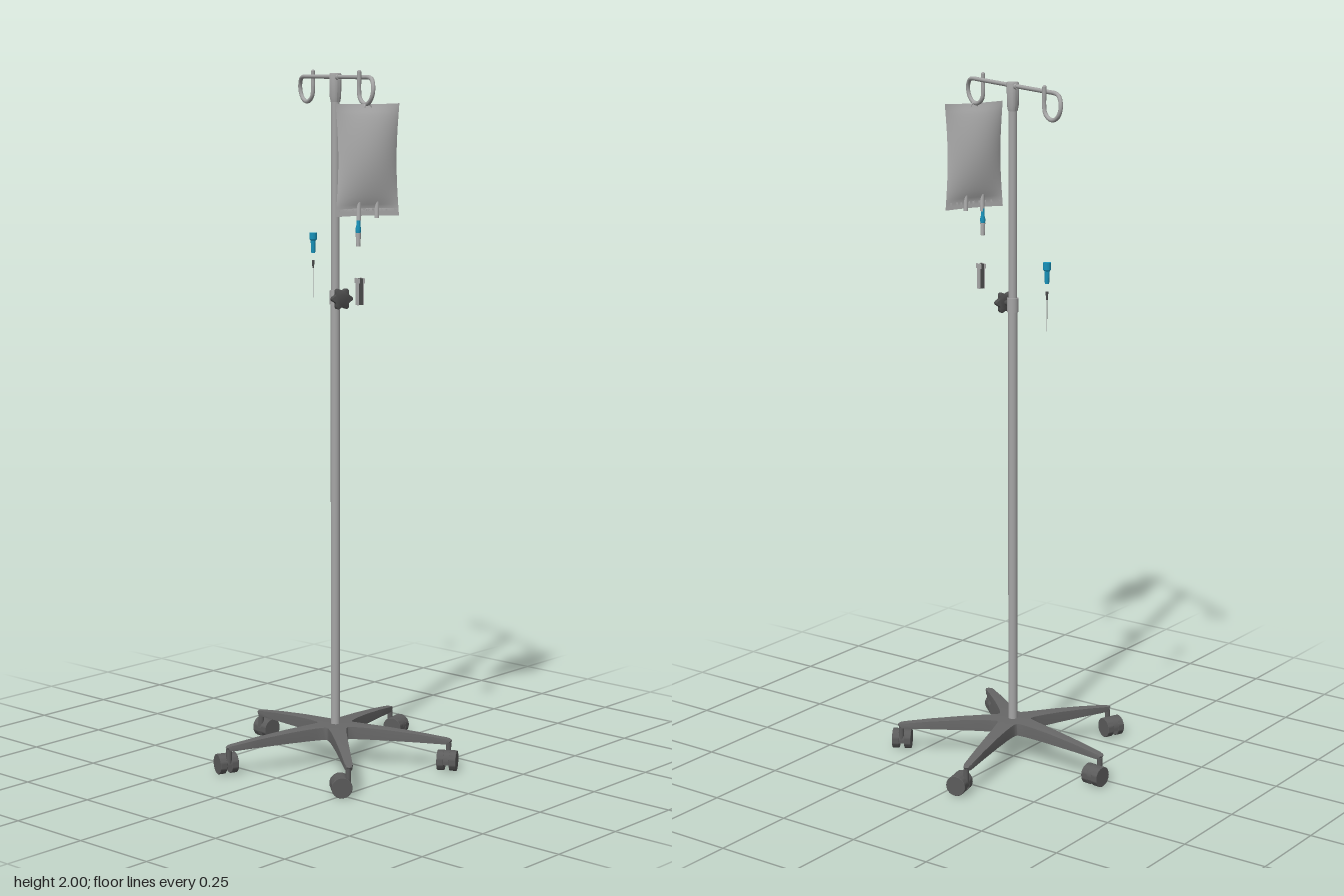
import * as THREE from 'three';
import { toCreasedNormals } from 'three/addons/utils/BufferGeometryUtils.js';

const paint = (name, color, side = THREE.FrontSide) => {
  const m = new THREE.MeshStandardMaterial({ color, side });
  m.name = name;
  return m;
};

export function createModel() {
  const steel = paint('steel', 0xa6a6a6);
  const basePlastic = paint('base grey', 0x686868);
  const rubber = paint('caster grey', 0x5c5c5c);
  const dark = paint('dark plastic', 0x4e4e4e);
  const bagFilm = paint('bag film', 0xb0b0b0, THREE.DoubleSide);
  const blue = paint('blue plastic', 0x1893bb);
  const clear = paint('clear plastic', 0xb0b0b0);

  const root = new THREE.Group();
  root.name = 'infusionStand';

  const add = (parent, name, geo, mat, x = 0, y = 0, z = 0) => {
    const mesh = new THREE.Mesh(geo, mat);
    mesh.name = name;
    mesh.position.set(x, y, z);
    parent.add(mesh);
    return mesh;
  };
  // Upright cylinder given by its lower and upper heights
  const rod = (parent, name, mat, x, z, y0, y1, r0, r1 = r0, n = 20) =>
    add(parent, name, new THREE.CylinderGeometry(r1, r0, y1 - y0, n), mat, x, (y0 + y1) / 2, z);
  // Turned part from [radius, height] pairs
  const turned = (parent, name, mat, x, z, pts, n = 18) =>
    add(parent, name, toCreasedNormals(new THREE.LatheGeometry(pts.map(p => new THREE.Vector2(...p)), n), 0.6), mat, x, 0, z);

  const stand = new THREE.Group();
  stand.name = 'stand';
  stand.position.set(0.012, 0, 0.013);
  root.add(stand);

  // Five-legged base: rings scaled from a star outline, height ruled by radius
  const LEG0 = 41.5 * Math.PI / 180, STEP = Math.PI * 2 / 5;
  const half = [[0.0437, 0.0317], [0.047, 0.0292], [0.054, 0.027], [0.07, 0.0245], [0.1, 0.0215],
    [0.16, 0.018], [0.25, 0.014], [0.33, 0.011], [0.34, 0.008], [0.345, 0.0]];
  const outline = [];
  for (let k = 0; k < 5; k++) {
    const c = Math.cos(LEG0 + k * STEP), s = Math.sin(LEG0 + k * STEP);
    const side = [...half.map(([r, h]) => [r, -h]), ...half.slice(1, -1).reverse()];
    side.forEach(([r, h]) => outline.push([r * c - h * s, r * s + h * c]));
  }
  const topY = r => 0.115 - 0.03 * Math.pow(r / 0.345, 1.7);
  const lowY = r => 0.077 - 0.006 * Math.pow(r / 0.345, 2);
  const rings = [0, 0.15, 0.3, 0.45, 0.6, 0.75, 0.9, 1];
  const N = outline.length, pos = [], idx = [];
  const ring = (s, f, drop = 0) => outline.forEach(([x, z]) =>
    pos.push(x * s, f(Math.hypot(x, z) * s) - drop, z * s));
  rings.forEach(s => ring(s * 0.99, topY));
  ring(1, topY, 0.003);
  [...rings].reverse().forEach(s => ring(s * 0.98, lowY));
  for (let j = 0; j < rings.length * 2; j++) for (let i = 0; i < N; i++) {
    const a = j * N + i, b = j * N + (i + 1) % N;
    if (j > 0) idx.push(a, b, a + N);
    if (j < rings.length * 2 - 1) idx.push(b, b + N, a + N);
  }
  const baseGeo = new THREE.BufferGeometry();
  baseGeo.setAttribute('position', new THREE.Float32BufferAttribute(pos, 3));
  baseGeo.setIndex(idx);
  add(stand, 'base', toCreasedNormals(baseGeo, 0.6), basePlastic);

  // Twin-wheel casters trailing sideways from each leg tip
  const R = 0.0295, W = 0.02;
  const wheelGeo = toCreasedNormals(new THREE.LatheGeometry([[0, -W / 2], [R - 0.001, -W / 2],
    [R, -W / 2 + 0.001], [R, W / 2 - 0.001], [R - 0.001, W / 2], [0, W / 2]]
    .map(p => new THREE.Vector2(...p)), 28), 0.5).rotateZ(Math.PI / 2);
  const hoodGeo = new THREE.CylinderGeometry(0.0292, 0.0292, 0.017, 20, 1, false, 0, Math.PI).rotateZ(Math.PI / 2);
  for (let k = 0; k < 5; k++) {
    const caster = new THREE.Group();
    caster.name = 'caster' + (k + 1);
    caster.rotation.y = -(LEG0 + k * STEP);
    stand.add(caster);
    for (const s of [-1, 1]) add(caster, 'wheel', wheelGeo, rubber, 0.334 + s * 0.018, R, 0.023);
    add(caster, 'hood', hoodGeo, rubber, 0.334, R, 0.023);
    add(caster, 'axleBlock', new THREE.BoxGeometry(0.017, 0.01, 0.056), rubber, 0.334, 0.027, 0.023);
    rod(caster, 'stem', rubber, 0.334, 0.002, 0.035, 0.076, 0.008);
  }

  // Telescopic pole
  rod(stand, 'lowerPole', steel, 0, 0, 0.09, 1.36, 0.0135);
  rod(stand, 'upperPole', steel, 0, 0, 1.36, 1.95, 0.0122);
  rod(stand, 'collar', steel, 0, 0, 1.34, 1.38, 0.0165);
  turned(stand, 'topCap', steel, 0, 0, [[0, 1.91], [0.0135, 1.91], [0.0165, 1.925], [0.0175, 1.985], [0.016, 1.99], [0, 1.99]], 12);

  // Everything aligned with the crossbar: local x runs along it
  const head = new THREE.Group();
  head.name = 'head';
  head.rotation.y = -24.5 * Math.PI / 180;
  stand.add(head);

  // Lobed clamp knob
  const knob = new THREE.Shape();
  for (let i = 0; i <= 60; i++) {
    const a = i / 60 * Math.PI * 2, r = 0.028 + 0.0045 * Math.cos(a * 6);
    knob[i ? 'lineTo' : 'moveTo'](r * Math.cos(a), r * Math.sin(a));
  }
  const knobGeo = toCreasedNormals(new THREE.ExtrudeGeometry(knob, { depth: 0.011, bevelSize: 0.002,
    bevelOffset: -0.002, bevelThickness: 0.003, bevelSegments: 2 }), 0.6).rotateY(Math.PI / 2);
  add(head, 'knob', knobGeo, dark, 0.039, 1.36, 0);
  add(head, 'knobStem', new THREE.CylinderGeometry(0.008, 0.008, 0.035, 14).rotateZ(Math.PI / 2), dark, 0.025, 1.36, 0);

  // Crossbar ending in pigtail hooks, each half the other turned round
  const path = [[0, 1.98, 0], [0.1, 1.98, 0], [0.2, 1.98, 0], [0.225, 1.98, 0]];
  for (let i = 1; i <= 8; i++) {
    const a = Math.PI / 2 - i * Math.PI / 6;
    path.push([0.232 + 0.036 * Math.cos(a), 1.944 + 0.036 * Math.sin(a), 0.015 * i / 8]);
  }
  path.push([0.197, 1.95, 0.0155], [0.198, 1.972, 0.0155], [0.198, 1.995, 0.0155]);
  const curve = new THREE.CatmullRomCurve3(path.map(p => new THREE.Vector3(...p)));
  const hookGeo = new THREE.TubeGeometry(curve, 90, 0.006, 10);
  for (const s of [1, -1]) {
    add(head, s > 0 ? 'leftHook' : 'rightHook', hookGeo, steel).rotation.y = s > 0 ? 0 : Math.PI;
    add(head, 'hookTip', new THREE.SphereGeometry(0.006, 10, 8), steel, s * 0.198, 1.994, s * 0.0155);
    add(head, 'barSocket', new THREE.CylinderGeometry(0.008, 0.008, 0.014, 14).rotateZ(Math.PI / 2), steel, s * 0.02, 1.979, 0);
  }

  // Fluid bag: two pillowed sheets sealed at the rim
  const bag = new THREE.Group();
  bag.name = 'fluidBag';
  bag.position.set(0.238, -0.006, 0.008);
  head.add(bag);
  for (const s of [-1, 1]) {
    const g = new THREE.PlaneGeometry(2, 1, 28, 30), p = g.attributes.position;
    for (let i = 0; i < p.count; i++) {
      const a = p.getX(i), b = p.getY(i) + 0.5;
      const fill = Math.pow(Math.sin(Math.PI * Math.min(1, Math.max(0, (b - 0.08) / 0.9))), 0.7);
      const w = 0.095 - 0.008 * Math.sin(Math.PI * b);
      const lift = 0.004 * a * a * (b - 0.5);
      p.setXYZ(i, a * w, 1.612 + b * 0.302 + lift, 0.024 * fill * Math.pow(Math.max(0, 1 - a * a), 0.9));
    }
    g.rotateY(s * Math.PI / 2);
    g.computeVertexNormals();
    add(bag, s > 0 ? 'bagOuterSheet' : 'bagInnerSheet', g, bagFilm);
  }
  add(bag, 'eyelet', new THREE.TorusGeometry(0.01, 0.003, 8, 20).rotateY(Math.PI / 2), bagFilm, 0, 1.905, 0);
  rod(bag, 'portA', clear, 0, 0.026, 1.6, 1.65, 0.0065);
  rod(bag, 'portB', clear, 0, -0.028, 1.605, 1.65, 0.0065);

  // Connector below the bag
  turned(root, 'connectorBody', blue, 0.213, 0.143, [[0, 1.56], [0.007, 1.56], [0.008, 1.57], [0.0055, 1.58], [0.0055, 1.602], [0, 1.602]]);
  turned(root, 'connectorTip', clear, 0.213, 0.143, [[0, 1.523], [0.006, 1.523], [0.0075, 1.56], [0, 1.56]]);

  // Loose clamp: dark core between two light cheeks with a wider head
  const clamp = new THREE.Group();
  clamp.name = 'looseClamp';
  clamp.position.set(0.226, 0, 0.151);
  clamp.rotation.y = head.rotation.y;
  root.add(clamp);
  add(clamp, 'clampCore', new THREE.BoxGeometry(0.0155, 0.072, 0.013), dark, 0, 1.4, 0);
  for (const s of [-1, 1]) {
    add(clamp, 'clampCheek', new THREE.BoxGeometry(0.016, 0.074, 0.003), clear, 0, 1.4, s * 0.008);
    add(clamp, 'clampHead', new THREE.BoxGeometry(0.028, 0.014, 0.003), clear, 0, 1.43, s * 0.008);
  }

  // Needle with blue hub
  turned(root, 'needleHub', blue, -0.208, -0.134, [[0, 1.467], [0.006, 1.467], [0.0075, 1.503], [0.011, 1.506], [0.011, 1.526], [0.006, 1.526], [0, 1.518]]);
  rod(root, 'needleRoot', dark, -0.208, -0.134, 1.422, 1.445, 0.0025, 0.004, 12);
  rod(root, 'needle', steel, -0.208, -0.134, 1.335, 1.43, 0.001, 0.0012, 8);

  return root;
}
